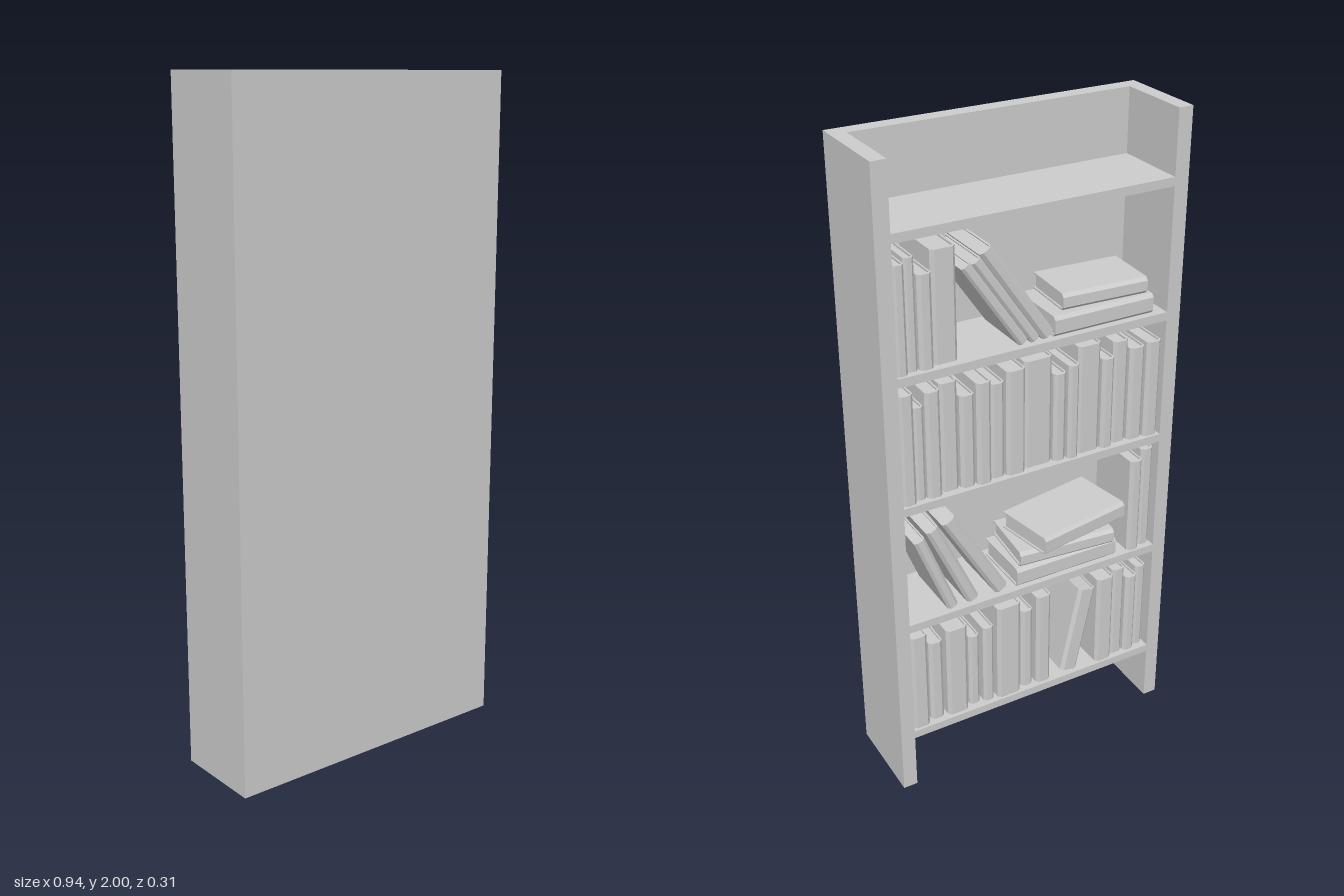
import * as THREE from 'three';

const material = new THREE.MeshStandardMaterial({ color: 0xcccccc, flatShading: true });
const deg = Math.PI / 180;
const shelfTops = [0.21, 0.61, 1.01, 1.41, 1.81];
const WALL = 0.045, W = 0.94, BACK = -0.128, FRONT = 0.155;

function box(name, w, h, d, x, y, z) {
  const mesh = new THREE.Mesh(new THREE.BoxGeometry(w, h, d), material);
  mesh.name = name;
  mesh.position.set(x, y, z);
  return mesh;
}

// Upright book: centred on x, standing on y = 0, spine at z = 0, pages toward +z
function makeBook(t, h, d) {
  const c = Math.min(0.01, t * 0.25), k = 0.005, a = t / 2;
  const outline = new THREE.Shape([
    [-a, -d], [-a + k, -d], [-a + k, -c], [a - k, -c], [a - k, -d],
    [a, -d], [a, -c], [a - c, 0], [-a + c, 0], [-a, -c],
  ].map(([x, y]) => new THREE.Vector2(x, y)));
  const geometry = new THREE.ExtrudeGeometry(outline, { depth: h, bevelEnabled: false });
  geometry.rotateX(-Math.PI / 2);
  const cover = new THREE.Mesh(geometry, material);
  cover.name = 'bookCover';
  const pages = box('pages', t - 2 * k, h - 0.012, d - c - 0.006, 0, h / 2, c + (d - c - 0.006) / 2);
  const book = new THREE.Group();
  book.name = 'book';
  book.add(cover, pages);
  return book;
}

// Row of upright books, filled from +x toward -x; each entry is [thickness, height]
function addRow(parent, startX, y, books, gap = 0.003) {
  let x = startX;
  books.forEach(([t, h], i) => {
    const inset = [0, 0.012, 0.004, 0.016, 0.008][i % 5];
    const book = makeBook(t, h, 0.175 + (h - 0.25) * 0.2);
    book.position.set(x - t / 2, y, -0.12 + inset);
    parent.add(book);
    x -= t + gap;
  });
}

// Leaning book pivoting on its lower edge; side +1 tips the top toward +x
function addLeaning(parent, x, y, t, h, angle, side = 1) {
  const pivot = new THREE.Group();
  pivot.name = 'leaningBook';
  const book = makeBook(t, h, 0.2);
  book.position.x = -side * t / 2;
  pivot.add(book);
  pivot.position.set(x, y, -0.115);
  pivot.rotation.z = -side * angle * deg;
  parent.add(pivot);
}

// Book lying flat, placed by the +x end of its spine and turned about it
function addFlat(parent, x, y, z, t, h, d, turn) {
  const flat = new THREE.Group();
  flat.name = 'flatBook';
  const book = makeBook(t, h, d);
  book.rotation.z = Math.PI / 2;
  book.position.y = t / 2;
  flat.add(book);
  flat.position.set(x, y, z);
  flat.rotation.y = turn * deg;
  parent.add(flat);
}

export function createModel() {
  const model = new THREE.Group();
  model.name = 'bookcase';

  // Case: solid panel, two sides and five shelves, open toward -z
  const inner = W - 2 * WALL, depth = FRONT - BACK;
  for (const s of [-1, 1]) {
    model.add(box(s > 0 ? 'leftSide' : 'rightSide', WALL, 2, depth, s * (W - WALL) / 2, 1, (FRONT + BACK) / 2));
  }
  model.add(box('panel', inner, 2, 0.047, 0, 1, FRONT - 0.0235));
  const shelfDepth = depth - 0.047;
  for (const y of shelfTops) {
    model.add(box('shelf', inner, 0.026, shelfDepth, 0, y - 0.013, BACK + shelfDepth / 2));
  }

  const rows = shelfTops.slice(0, 4).map((y, i) => {
    const group = new THREE.Group();
    group.name = 'bookRow' + (i + 1);
    group.position.y = y;
    model.add(group);
    return group;
  });

  // Lowest row: upright books with one tilted
  addRow(rows[0], 0.42, 0, [[0.055, 0.34], [0.045, 0.29], [0.07, 0.32], [0.036, 0.26], [0.036, 0.28],
    [0.08, 0.34], [0.04, 0.29], [0.05, 0.33]], 0.01);
  addLeaning(rows[0], -0.162, 0, 0.06, 0.3, 12, -1);
  addRow(rows[0], -0.23, 0, [[0.06, 0.32], [0.045, 0.33], [0.04, 0.29], [0.036, 0.31]]);

  // Second row: leaning books, a loose pile and two upright books
  addLeaning(rows[1], 0.29, 0, 0.035, 0.28, 21);
  addLeaning(rows[1], 0.225, 0, 0.04, 0.31, 24);
  addLeaning(rows[1], 0.13, 0, 0.045, 0.34, 30);
  addFlat(rows[1], 0.06, 0, -0.118, 0.062, 0.35, 0.2, 0);
  addFlat(rows[1], 0.045, 0.062, -0.11, 0.05, 0.315, 0.2, -5);
  addFlat(rows[1], -0.015, 0.112, -0.155, 0.058, 0.32, 0.2, 10);
  addRow(rows[1], -0.335, 0, [[0.042, 0.32], [0.042, 0.345]]);

  // Third row: packed with upright books
  addRow(rows[2], 0.422, 0, [[0.045, 0.34], [0.03, 0.29], [0.045, 0.33], [0.055, 0.34], [0.045, 0.29],
    [0.045, 0.32], [0.045, 0.3], [0.06, 0.33], [0.09, 0.34], [0.04, 0.28], [0.035, 0.3],
    [0.075, 0.345], [0.04, 0.29], [0.05, 0.33], [0.05, 0.3], [0.048, 0.31]]);

  // Fourth row: upright books, leaning books and a flat pile
  addRow(rows[3], 0.422, 0, [[0.035, 0.31], [0.03, 0.32], [0.042, 0.27], [0.073, 0.325]]);
  addLeaning(rows[3], 0.05, 0, 0.03, 0.31, 34);
  addLeaning(rows[3], 0.013, 0, 0.03, 0.32, 34);
  addLeaning(rows[3], -0.025, 0, 0.04, 0.345, 34);
  addFlat(rows[3], -0.06, 0, -0.115, 0.06, 0.325, 0.2, 0);
  addFlat(rows[3], -0.1, 0.06, -0.09, 0.05, 0.27, 0.18, -3);
  return model;
}
